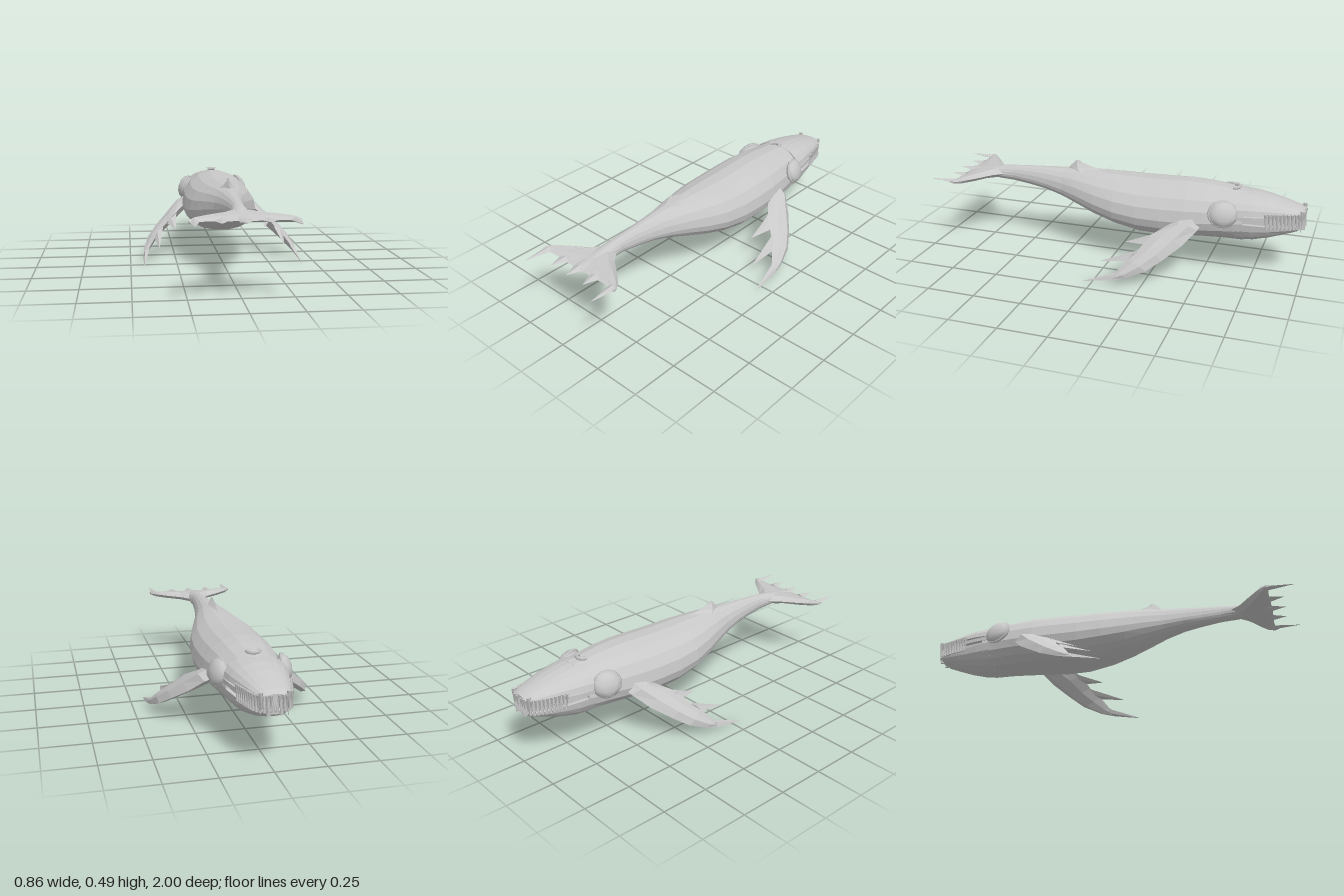
import * as THREE from 'three';

const hide = new THREE.MeshStandardMaterial({ color: 0xc8c8c8 });
hide.name = 'pale grey hide';
const V = (x, y, z) => new THREE.Vector3(x, y, z);

// Skin a list of equal-length rings, close the ends, and face it outwards
function loft(rings) {
  const tris = [], n = rings[0].length;
  for (let i = 0; i < rings.length - 1; i++) {
    for (let j = 0; j < n; j++) {
      const k = (j + 1) % n, a = rings[i], b = rings[i + 1];
      tris.push([a[j], a[k], b[k]], [a[j], b[k], b[j]]);
    }
  }
  const cap = (ring, flip) => {
    const c = ring.reduce((s, p) => s.add(p), V(0, 0, 0)).divideScalar(n);
    ring.forEach((p, j) => {
      const q = ring[(j + 1) % n];
      tris.push(flip ? [c, q, p] : [c, p, q]);
    });
  };
  cap(rings[0], true);
  cap(rings[rings.length - 1], false);
  let volume = 0;
  for (const [a, b, c] of tris) volume += a.dot(b.clone().cross(c));
  const pts = tris.flatMap(([a, b, c]) => (volume < 0 ? [a, c, b] : [a, b, c]));
  const geo = new THREE.BufferGeometry().setFromPoints(pts);
  geo.computeVertexNormals();
  return geo;
}

// Rounded section: half width, top, widest height, bottom
function ovalRing(z, w, top, mid, bottom, n = 18) {
  return Array.from({ length: n }, (_, i) => {
    const a = (i / n) * Math.PI * 2, s = Math.sin(a);
    return V(w * Math.cos(a), mid + s * (s > 0 ? top - mid : mid - bottom), z);
  });
}

// Half-oval section, flat along the lip and curving towards the peak
function jawRing(z, w, lip, peak) {
  return Array.from({ length: 11 }, (_, i) => {
    const a = (i / 10) * Math.PI;
    return V(w * Math.cos(a), lip + (peak - lip) * Math.sin(a), z);
  });
}

// Fin blade section between a leading and a trailing point
function bladeRing(lead, trail, t, normal) {
  const at = (f, h) => lead.clone().lerp(trail, f).addScaledVector(normal, h * t);
  return [at(0, 0), at(0.25, 1), at(0.65, 0.7), at(1, 0), at(0.65, -0.7), at(0.25, -1)];
}

// Flattened thorn from a base edge to a tip
function thorn(a, b, tip, t, normal) {
  const mid = a.clone().lerp(b, 0.5);
  const base = [a, mid.clone().addScaledVector(normal, t), b, mid.clone().addScaledVector(normal, -t)];
  return loft([base, base.map(p => tip.clone().lerp(p, 0.03))]);
}

export function createModel() {
  const model = new THREE.Group();
  const add = (name, geo, parent = model) => {
    const mesh = new THREE.Mesh(geo, hide);
    mesh.name = name;
    parent.add(mesh);
    return mesh;
  };
  const group = name => {
    const g = new THREE.Group();
    g.name = name;
    model.add(g);
    return g;
  };

  // Body from behind the mouth to the tail stock
  add('body', loft([
    [-0.70, 0.150, 0.435, 0.300, 0.170], [-0.60, 0.165, 0.446, 0.295, 0.173],
    [-0.50, 0.182, 0.456, 0.290, 0.172], [-0.40, 0.194, 0.460, 0.285, 0.166],
    [-0.28, 0.198, 0.455, 0.282, 0.156], [-0.15, 0.195, 0.451, 0.282, 0.157],
    [-0.02, 0.180, 0.452, 0.292, 0.180], [0.10, 0.148, 0.452, 0.310, 0.212],
    [0.20, 0.115, 0.451, 0.330, 0.247], [0.30, 0.082, 0.446, 0.345, 0.285],
    [0.40, 0.061, 0.440, 0.360, 0.313], [0.50, 0.046, 0.434, 0.370, 0.328],
    [0.60, 0.037, 0.427, 0.378, 0.340], [0.68, 0.042, 0.418, 0.380, 0.345],
    [0.77, 0.045, 0.402, 0.380, 0.358], [0.86, 0.030, 0.390, 0.380, 0.370],
  ].map(s => ovalRing(...s))));

  // Jaws with the mouth lining between them
  add('upperJaw', loft([
    [-0.66, 0.155, 0.342, 0.436], [-0.74, 0.144, 0.345, 0.430], [-0.82, 0.124, 0.348, 0.416],
    [-0.90, 0.101, 0.350, 0.396], [-0.96, 0.078, 0.350, 0.379], [-0.99, 0.048, 0.350, 0.364],
  ].map(s => jawRing(...s))));
  add('lowerJaw', loft([
    [-0.66, 0.157, 0.300, 0.172], [-0.74, 0.143, 0.295, 0.176], [-0.82, 0.123, 0.290, 0.197],
    [-0.90, 0.100, 0.287, 0.226], [-0.96, 0.077, 0.285, 0.250], [-0.985, 0.048, 0.285, 0.267],
  ].map(s => jawRing(...s))));
  add('mouthLining', loft([[-0.66, 0.14], [-0.82, 0.105], [-0.91, 0.08], [-0.965, 0.045]]
    .map(([z, w]) => [V(w, 0.28, z), V(w, 0.36, z), V(-w, 0.36, z), V(-w, 0.28, z)])));

  // Dorsal fin, swept towards the tail
  add('dorsalFin', loft([
    [0.02, 0.29, 0.050, 0.437], [0.13, 0.272, 0.024, 0.460], [0.20, 0.25, 0.010, 0.482],
    [0.222, 0.236, 0.003, 0.495],
  ].map(([z0, z1, w, y]) => [V(0, y, z0), V(w, y - 0.004, z0 * 0.35 + z1 * 0.65),
    V(0, y, z1), V(-w, y - 0.004, z0 * 0.35 + z1 * 0.65)])));

  // Blowhole ridge
  const ridge = add('blowholeRidge', new THREE.TorusGeometry(0.03, 0.01, 5, 10, Math.PI));
  ridge.rotation.x = -Math.PI / 2;
  ridge.position.set(0, 0.446, -0.625);

  const teeth = group('teeth');
  const tooth = (x, z, y0, y1, r) => {
    const geo = new THREE.ConeGeometry(r, Math.abs(y1 - y0), 4);
    if (y1 < y0) geo.rotateX(Math.PI);
    add('tooth', geo, teeth).position.set(x, (y0 + y1) / 2, z);
  };
  // Teeth along the rounded front of the mouth
  const mouth = new THREE.CatmullRomCurve3([V(0.126, 0, -0.81), V(0.102, 0, -0.90),
    V(0.08, 0, -0.96), V(0.045, 0, -0.988), V(0, 0, -0.99)]);
  for (const s of [1, -1]) {
    for (let i = 0; i < 13; i++) {
      const up = mouth.getPointAt(i / 13), low = mouth.getPointAt((i + 0.5) / 13);
      tooth(s * up.x, up.z, 0.358, 0.292, 0.009);
      tooth(s * low.x, low.z, 0.28, 0.342, 0.009);
    }
    tooth(s * 0.064, -0.982, 0.372, 0.255, 0.011);
    tooth(s * 0.03, -0.988, 0.265, 0.36, 0.011);

    const side = s > 0 ? 'left' : 'right';
    const P = p => V(s * p[0], p[1], p[2]);

    // Lip bar behind the teeth
    add(side + 'Lip', loft([[-0.64, 0.158], [-0.74, 0.144], [-0.81, 0.127]].map(([z, w]) =>
      [[w, 0.318, z], [w, 0.338, z], [w - 0.03, 0.338, z], [w - 0.03, 0.318, z]].map(P))));

    // Eye pad: a flattened faceted dome with a raised brow rim
    const eye = add(side + 'EyePad', new THREE.IcosahedronGeometry(1, 1));
    eye.scale.set(0.036, 0.067, 0.074);
    eye.position.set(s * 0.163, 0.348, -0.605);
    eye.rotation.set(0, s * 0.28, s * 0.3);
    const rim = add(side + 'EyeRim', new THREE.TorusGeometry(0.062, 0.009, 5, 14));
    rim.scale.set(1.08, 1, 1);
    rim.position.set(s * 0.162, 0.348, -0.602);
    rim.rotation.set(0, s * (Math.PI / 2 + 0.28), s * 0.3, 'ZYX');

    // Front flipper with three thorns on its trailing edge
    const flipper = group(side + 'Flipper');
    const n = V(s * 0.7, 0.7, 0.1).normalize();
    add('flipperBlade', loft([
      [[0.14, 0.285, -0.50], [0.14, 0.305, -0.34], 0.040],
      [[0.20, 0.260, -0.485], [0.195, 0.270, -0.335], 0.036],
      [[0.27, 0.195, -0.425], [0.255, 0.225, -0.255], 0.031],
      [[0.34, 0.135, -0.345], [0.315, 0.168, -0.215], 0.028],
      [[0.39, 0.085, -0.272], [0.357, 0.125, -0.168], 0.024],
      [[0.419, 0.045, -0.175], [0.395, 0.070, -0.125], 0.016],
      [[0.429, 0.028, -0.105], [0.405, 0.045, -0.095], 0.007],
    ].map(([a, b, t]) => bladeRing(P(a), P(b), t, n))), flipper);
    for (const [a, b, tip] of [
      [[0.235, 0.235, -0.29], [0.29, 0.185, -0.23], [0.25, 0.168, -0.12]],
      [[0.315, 0.165, -0.22], [0.365, 0.115, -0.165], [0.343, 0.085, -0.015]],
      [[0.395, 0.065, -0.13], [0.43, 0.030, -0.115], [0.428, 0.000, 0.055]],
    ]) add('flipperThorn', thorn(P(a), P(b), P(tip), 0.012, n), flipper);

    // Tail fluke with thorns along its rear edge
    const fluke = group(side + 'Fluke');
    const up = V(0, 1, 0);
    add('flukeBlade', loft([
      [0, 0.62, 0.875, 0.026], [0.04, 0.655, 0.865, 0.025], [0.08, 0.705, 0.865, 0.022],
      [0.16, 0.765, 0.862, 0.019], [0.22, 0.815, 0.865, 0.015], [0.25, 0.85, 0.88, 0.007],
    ].map(([x, z0, z1, t]) => bladeRing(P([x, 0.381, z0]), P([x, 0.381, z1]), t, up))), fluke);
    for (const [x0, x1, tx, tz] of [[0.2, 0.25, 0.233, 1.0], [0.07, 0.14, 0.112, 0.935]]) {
      add('flukeThorn', thorn(P([x0, 0.381, 0.85]), P([x1, 0.381, 0.85]),
        P([tx, 0.383, tz]), 0.012, up), fluke);
    }
  }
  add('tailThorn', thorn(V(-0.035, 0.381, 0.85), V(0.035, 0.381, 0.85),
    V(0, 0.383, 0.94), 0.014, V(0, 1, 0)));

  return model;
}
